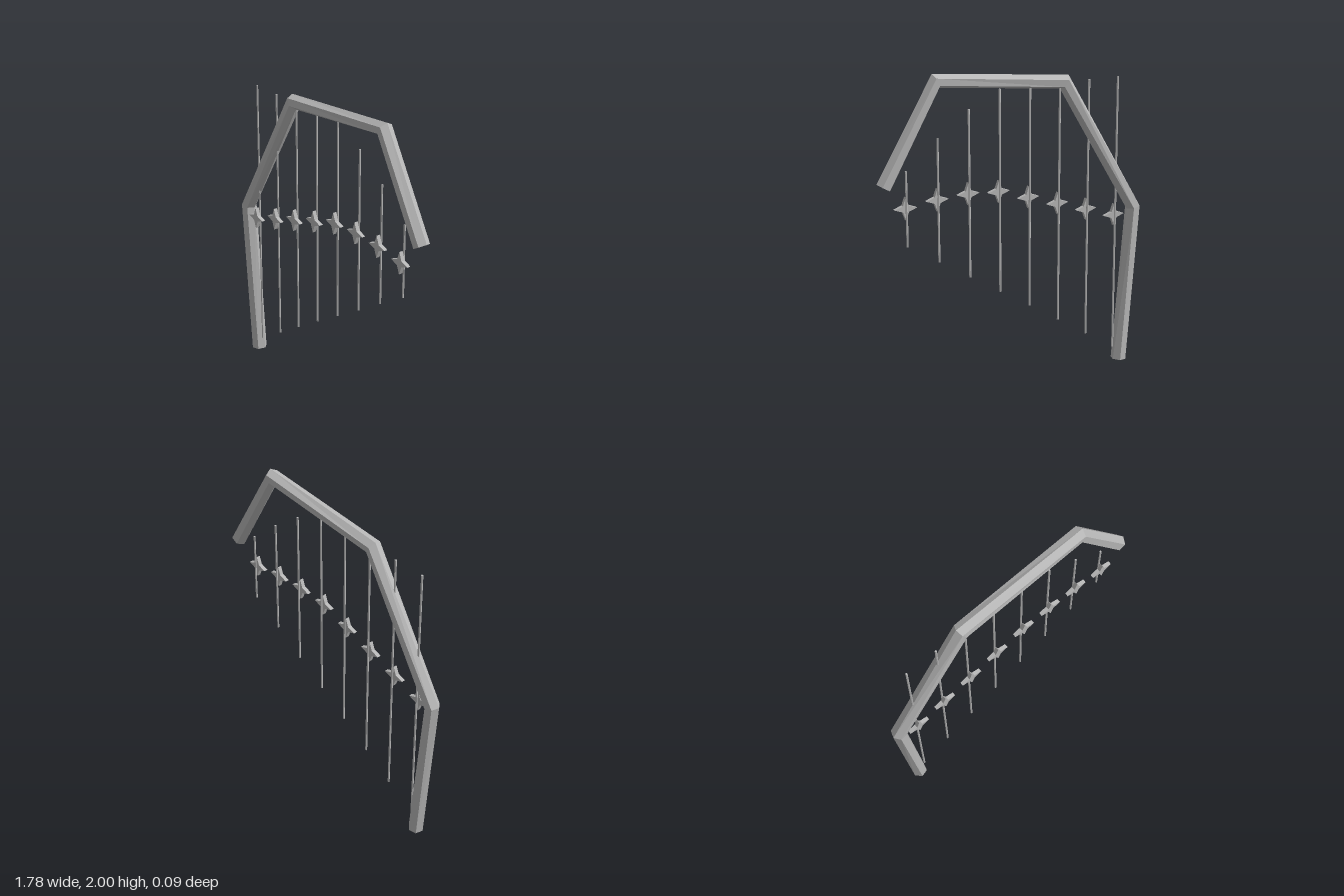
import * as THREE from 'three';

const grey = new THREE.MeshStandardMaterial({ color: 0xb8b8b8, flatShading: true });
grey.name = 'plain grey';

// Six-sided beam swept along a bent path, one ring per joint, with a slight twist
function sweptBeam(path, radius, twists) {
  const sides = 6, last = path.length - 1, Z = new THREE.Vector3(0, 0, 1);
  const dirs = path.slice(1).map((p, i) => p.clone().sub(path[i]).normalize());
  const rings = path.map((c, i) => {
    const d = dirs[Math.max(i - 1, 0)].clone().add(dirs[Math.min(i, last - 1)]).normalize();
    const n = new THREE.Vector3(-d.y, d.x, 0);
    return Array.from({ length: sides }, (_, k) => {
      const a = THREE.MathUtils.degToRad(twists[i] + k * 60);
      return c.clone().addScaledVector(n, radius * Math.cos(a)).addScaledVector(Z, radius * Math.sin(a));
    });
  });
  const pts = [];
  for (let j = 0; j < sides; j++) {
    const k = (j + 1) % sides;
    for (let i = 0; i < last; i++) {
      const [a, b, c, d] = [rings[i][j], rings[i][k], rings[i + 1][k], rings[i + 1][j]];
      pts.push(a, b, c, a, c, d);
    }
    pts.push(path[0], rings[0][k], rings[0][j]); // end caps
    pts.push(path[last], rings[last][j], rings[last][k]);
  }
  const g = new THREE.BufferGeometry().setFromPoints(pts);
  g.computeVertexNormals();
  return g;
}

// Four-pointed star plate
function starGeometry() {
  const tip = 0.071, waist = 0.019, s = new THREE.Shape();
  for (let i = 0; i < 8; i++) {
    const a = i * Math.PI / 4, r = i % 2 ? waist * Math.SQRT2 : tip;
    s[i ? 'lineTo' : 'moveTo'](r * Math.cos(a), r * Math.sin(a));
  }
  s.closePath();
  return new THREE.ExtrudeGeometry(s, { depth: 0.024, bevelEnabled: false });
}

export function createModel() {
  const model = new THREE.Group();
  const add = (name, geometry, x = 0, y = 0, z = 0) => {
    const m = new THREE.Mesh(geometry, grey);
    m.name = name;
    m.position.set(x, y, z);
    model.add(m);
  };

  // Bent harp-like frame
  const path = [[-0.765, 0.004], [-0.846, 1.025], [-0.34, 1.873], [0.508, 1.957], [0.847, 1.365]]
    .map(([x, y]) => new THREE.Vector3(x, y, 0));
  add('frame', sweptBeam(path, 0.049, [15, 10, -8, 0, 0]));

  // Strings, each with a star at its middle
  const star = starGeometry();
  const spans = [[0.09, 1.87], [0.22, 1.87], [0.35, 1.87], [0.48, 1.87],
    [0.605, 1.87], [0.73, 1.77], [0.86, 1.62], [0.985, 1.445]];
  spans.forEach(([low, high], i) => {
    const x = -0.72 + i * 0.2033, mid = (low + high) / 2;
    add('string' + (i + 1), new THREE.CylinderGeometry(0.0065, 0.0065, high - low, 6), x, mid, 0.003);
    add('star' + (i + 1), star, x, mid, 0.014);
  });
  return model;
}
